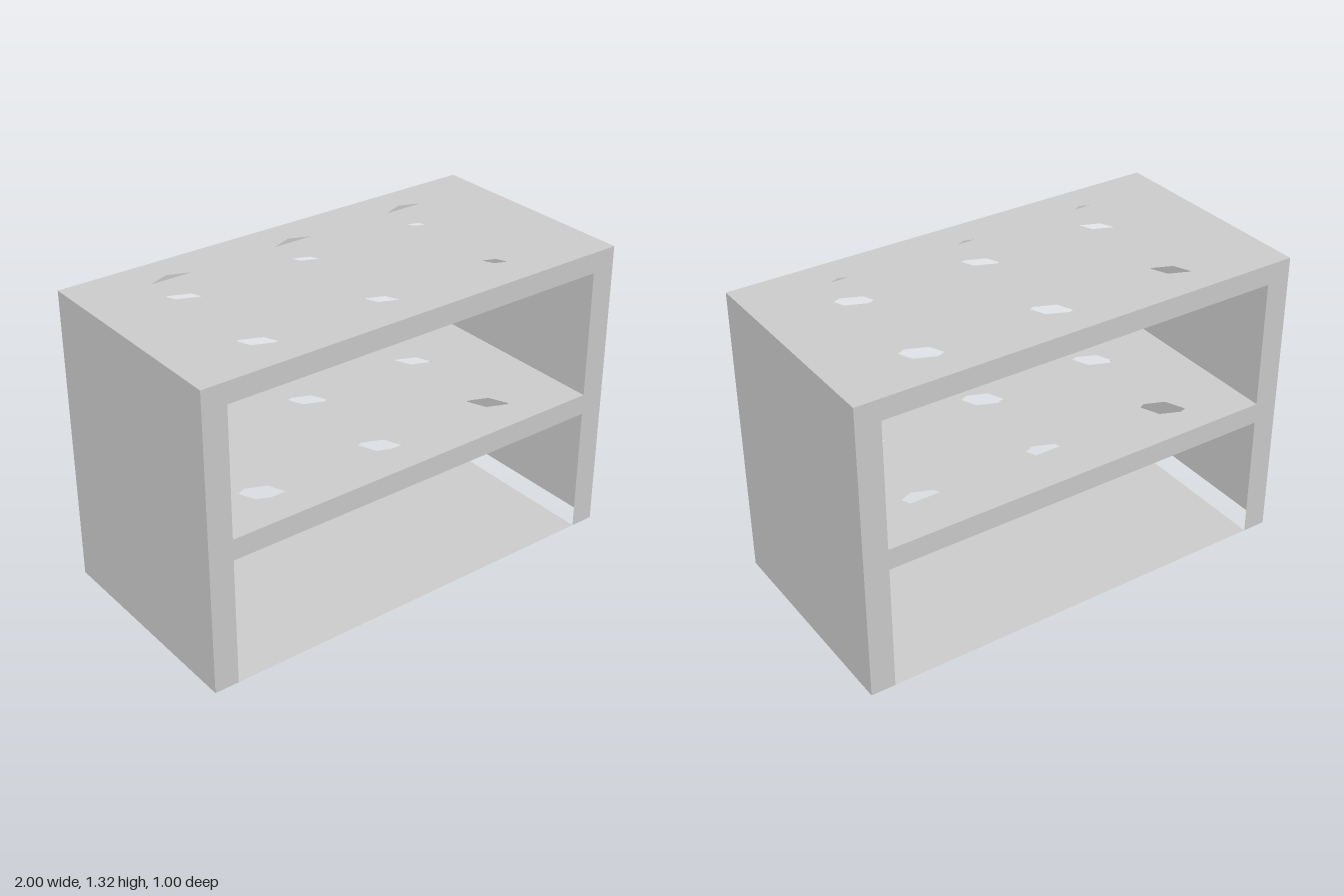
import * as THREE from 'three';

const H = 1.316, D = 1, INNER = 0.893; // height, depth, half width between the legs
const material = new THREE.MeshStandardMaterial({ color: 0xcccccc, flatShading: true, side: THREE.DoubleSide });

// Rectangle outline, as a Shape or as a hole Path
function rect(Type, x0, y0, x1, y1) {
  return new Type([[x0, y0], [x1, y0], [x1, y1], [x0, y1]].map(([x, y]) => new THREE.Vector2(x, y)));
}

// Octagonal cut-out centred at x, z
function octagon(x, z, r = 0.123) {
  const points = [];
  for (let i = 0; i < 8; i++) {
    const a = (i * Math.PI) / 4;
    points.push(new THREE.Vector2(x + r * Math.cos(a), -z + r * Math.sin(a)));
  }
  return new THREE.Path(points);
}

export function createModel() {
  const model = new THREE.Group();
  model.name = 'rack';

  const add = (name, geometry) => {
    const mesh = new THREE.Mesh(geometry, material);
    mesh.name = name;
    model.add(mesh);
    return mesh;
  };

  // Horizontal skin at height y, optionally pierced by two rows of three holes
  const addSheet = (name, y, halfWidth, pierced) => {
    const shape = rect(THREE.Shape, -halfWidth, -D / 2, halfWidth, D / 2);
    if (pierced) {
      for (const x of [-0.595, -0.01, 0.575]) shape.holes.push(octagon(x, -0.245));
      for (const x of [-0.585, 0, 0.585]) shape.holes.push(octagon(x, 0.24));
    }
    add(name, new THREE.ShapeGeometry(shape).rotateX(-Math.PI / 2)).position.y = y;
  };

  // Hollow top and shelf, each made of two pierced skins, and the floor
  addSheet('topUpperSkin', H, 1, true);
  addSheet('topLowerSkin', 1.225, INNER, true);
  addSheet('shelfUpperSkin', 0.66, INNER, true);
  addSheet('shelfLowerSkin', 0.568, INNER, true);
  addSheet('floor', 0, INNER, false);

  // Front and back frames around the two compartments
  const frame = new THREE.Shape(
    [[-1, 0], [-INNER, 0], [-INNER, 0.568], [INNER, 0.568], [INNER, 0], [1, 0], [1, H], [-1, H]]
      .map(([x, y]) => new THREE.Vector2(x, y)));
  frame.holes.push(rect(THREE.Path, -INNER, 0.66, INNER, 1.225));
  add('frontFrame', new THREE.ShapeGeometry(frame)).position.z = D / 2;
  add('backFrame', new THREE.ShapeGeometry(frame).rotateY(Math.PI)).position.z = -D / 2;

  // Outer side walls
  for (const [name, side] of [['leftWall', 1], ['rightWall', -1]]) {
    const wall = add(name, new THREE.PlaneGeometry(D, H).rotateY((side * Math.PI) / 2));
    wall.position.set(side, H / 2, 0);
  }

  return model;
}
